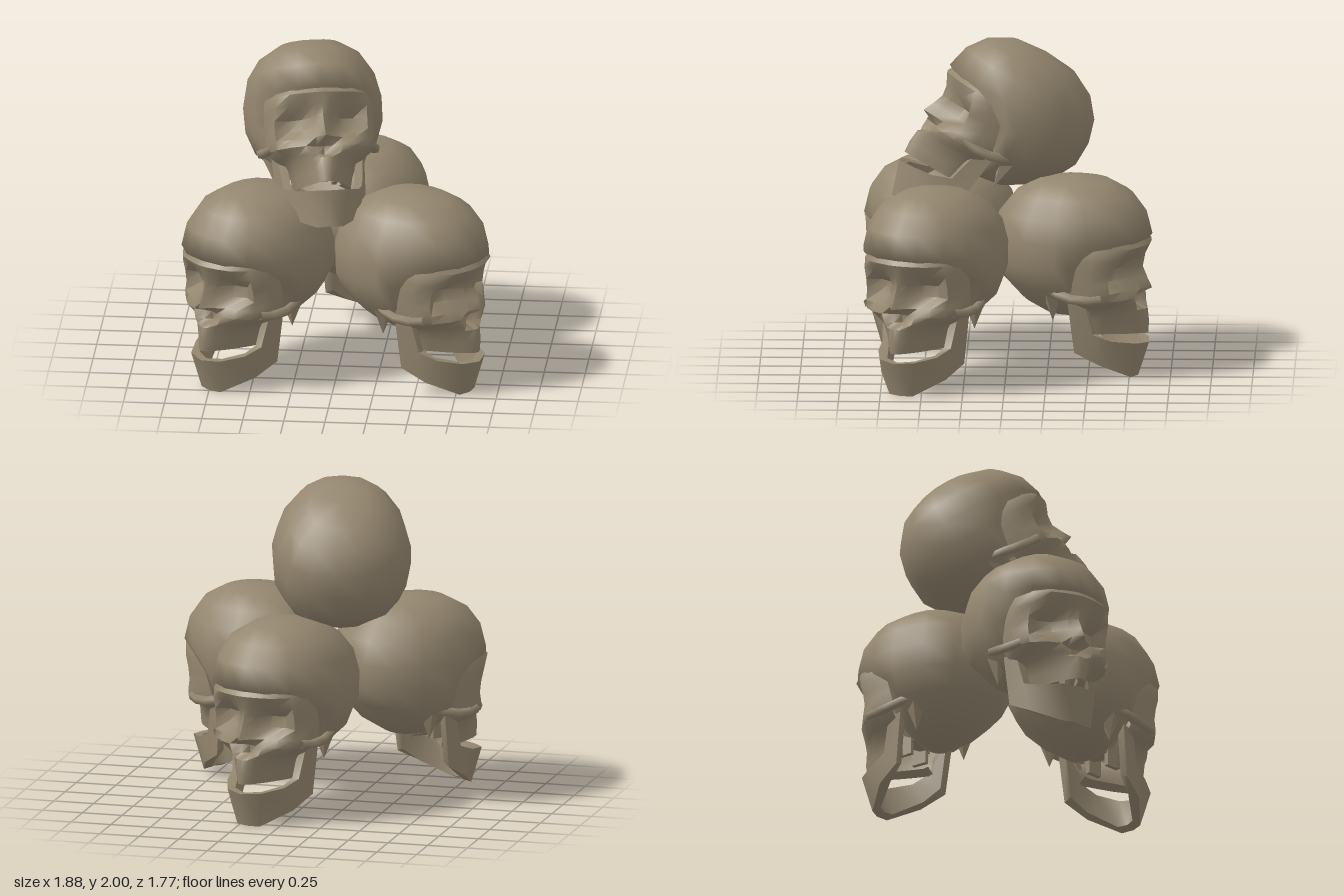
import * as THREE from 'three';
import { mergeVertices, toCreasedNormals } from 'three/addons/utils/BufferGeometryUtils.js';

const bone = new THREE.MeshStandardMaterial({ color: 0x94866f, side: THREE.DoubleSide });
bone.name = 'bone';

// Skins rows of points into a surface; closed joins the last point of a row to its first
function skin(rows, closed, crease) {
  const n = rows[0].length, index = [];
  for (let r = 0; r < rows.length - 1; r++) {
    for (let c = 0; c < (closed ? n : n - 1); c++) {
      const d = (c + 1) % n;
      const a = r * n + c, b = a + n, e = r * n + d, f = e + n;
      index.push(a, b, e, b, f, e);
    }
  }
  if (closed) {
    const last = (rows.length - 1) * n;
    for (let k = 1; k < n - 1; k++) index.push(0, k, k + 1, last, last + k + 1, last + k);
  }
  const g = new THREE.BufferGeometry();
  g.setAttribute('position', new THREE.Float32BufferAttribute(rows.flat(2), 3));
  g.setIndex(index);
  return toCreasedNormals(g, crease);
}

// Braincase: a coarse egg with a full dome, cut back behind the face
function craniumGeometry() {
  let g = new THREE.SphereGeometry(1, 16, 9);
  g.deleteAttribute('uv');
  g.deleteAttribute('normal');
  const p = g.attributes.position;
  for (let i = 0; i < p.count; i++) {
    let x = p.getX(i), y = p.getY(i), z = p.getZ(i);
    // squarer than an ellipsoid, in plan and in the dome
    const round = Math.hypot(x, z);
    if (round > 0.01) {
      const plan = Math.pow(Math.abs(x / round) ** 2.4 + Math.abs(z / round) ** 2.4, -1 / 2.4);
      const dome = y > 0 ? Math.pow(1 - y ** 2.4, 1 / 2.4) / round : 1;
      x *= plan * dome;
      z *= plan * dome;
    }
    x *= 0.425 * (1 - 0.16 * Math.max(0, z));
    if (y < -0.5) x *= 0.9;
    z *= z > 0 ? 0.47 : 0.5;
    y *= 0.435;
    if (z > 0) z *= 1 - 0.6 * THREE.MathUtils.clamp((0.05 - y) / 0.1, 0, 1);
    // the base slopes up towards the nape
    if (y < -0.1 && z < -0.15) y += (-0.15 - z) * 0.12;
    p.setXYZ(i, x, y + 0.78, z);
  }
  g = mergeVertices(g, 1e-4);
  g.computeVertexNormals();
  return g;
}

// Face mask rows: height, half width, depth from the middle to the side
const columns = [0, 0.15, 0.35, 0.6, 0.85, 1, 0.92];
const faceRows = [
  [0.93, 0.29, [0.40, 0.39, 0.37, 0.33, 0.26, 0.16, 0.0]],
  [0.82, 0.325, [0.47, 0.465, 0.45, 0.42, 0.34, 0.22, 0.0]],
  [0.75, 0.335, [0.44, 0.43, 0.40, 0.37, 0.33, 0.22, 0.0]],
  [0.68, 0.335, [0.43, 0.39, 0.30, 0.27, 0.31, 0.2, 0.0]],
  [0.61, 0.335, [0.46, 0.40, 0.31, 0.27, 0.30, 0.19, 0.0]],
  [0.55, 0.335, [0.49, 0.43, 0.38, 0.36, 0.31, 0.2, 0.05]],
  [0.50, 0.33, [0.37, 0.38, 0.41, 0.38, 0.31, 0.19, 0.08]],
  [0.45, 0.27, [0.36, 0.40, 0.42, 0.35, 0.26, 0.16, 0.08]],
  [0.42, 0.22, [0.46, 0.45, 0.42, 0.35, 0.25, 0.14, 0.08]],
  [0.34, 0.19, [0.47, 0.46, 0.42, 0.34, 0.24, 0.14, 0.1]],
  [0.27, 0.175, [0.465, 0.455, 0.41, 0.33, 0.22, 0.14, 0.1]],
  [0.30, 0.12, [0.40, 0.39, 0.36, 0.28, 0.2, 0.14, 0.1]],
];
function faceGeometry() {
  return skin(faceRows.map(([y, w, zs]) => {
    const half = zs.map((z, i) => [columns[i] * w, y, z]);
    const mirrored = half.slice(1).reverse().map(([x, py, z]) => [-x, py, z]);
    return [...mirrored, ...half];
  }), false, 0.9);
}

// Lower jaw: stations from the chin back and up to the joint, upper and lower edge
const jawTop = [[0, 0.21, 0.47], [0.12, 0.22, 0.43], [0.205, 0.24, 0.3], [0.24, 0.28, 0.19], [0.265, 0.49, 0.14]];
const jawBottom = [[0, 0, 0.4], [0.08, 0, 0.38], [0.225, 0.09, 0.23], [0.27, 0.17, 0.08], [0.285, 0.5, 0.04]];
function jawGeometry() {
  const inner = ([x, y, z], lift) => [x * 0.8, y + lift, z - 0.05 * (z > 0.2 ? 1 : 0)];
  const half = jawTop.map((t, i) => [t, jawBottom[i], inner(jawBottom[i], 0.02), inner(t, 0)]);
  const mirrored = half.slice(1).reverse().map((ring) => ring.map(([x, y, z]) => [-x, y, z]));
  return skin([...mirrored, ...half].map((ring) => [...ring].reverse()), true, 0.9);
}

function archGeometry() {
  const curve = new THREE.CatmullRomCurve3([
    new THREE.Vector3(0.3, 0.52, 0.26), new THREE.Vector3(0.345, 0.51, 0.14),
    new THREE.Vector3(0.34, 0.54, 0), new THREE.Vector3(0.3, 0.57, -0.08),
  ]);
  return new THREE.TubeGeometry(curve, 4, 0.03, 5, false);
}

const shapes = {
  cranium: craniumGeometry(),
  face: faceGeometry(),
  lowerJaw: jawGeometry(),
  cheekArch: archGeometry(),
  earBone: toCreasedNormals(new THREE.ConeGeometry(0.08, 0.2, 5).rotateX(Math.PI), 0.6),
  palateStrut: new THREE.BoxGeometry(0.03, 0.18, 0.1),
  baseBone: new THREE.CylinderGeometry(0.17, 0.1, 0.14, 7),
};

function createSkull(name, position, yaw, pitch) {
  const skull = new THREE.Group();
  skull.name = name;
  const add = (part, x = 0, y = 0, z = 0, side = 1) => {
    const mesh = new THREE.Mesh(shapes[part], bone);
    mesh.name = part;
    mesh.position.set(x, y - 0.78, z);
    mesh.scale.x = side;
    skull.add(mesh);
  };
  add('cranium');
  add('face');
  add('lowerJaw');
  add('baseBone', 0, 0.46, 0.06);
  for (const side of [-1, 1]) {
    add('cheekArch', 0, 0, 0, side);
    add('earBone', side * 0.26, 0.46, -0.06);
    add('palateStrut', side * 0.08, 0.4, 0.14);
  }
  skull.rotation.set(
    THREE.MathUtils.degToRad(-pitch), THREE.MathUtils.degToRad(yaw), 0, 'YXZ');
  skull.position.set(...position);
  return skull;
}

export function createModel() {
  const pile = new THREE.Group();
  pile.name = 'skullPile';
  pile.add(
    createSkull('frontRightSkull', [-0.5, 0.78, 0.43], -39, 0),
    createSkull('frontLeftSkull', [0.48, 0.78, 0.44], 61, 0),
    createSkull('backSkull', [0.08, 0.78, -0.42], 163, 0),
    createSkull('topSkull', [-0.18, 1.54, -0.02], 13, 30),
  );
  return pile;
}
